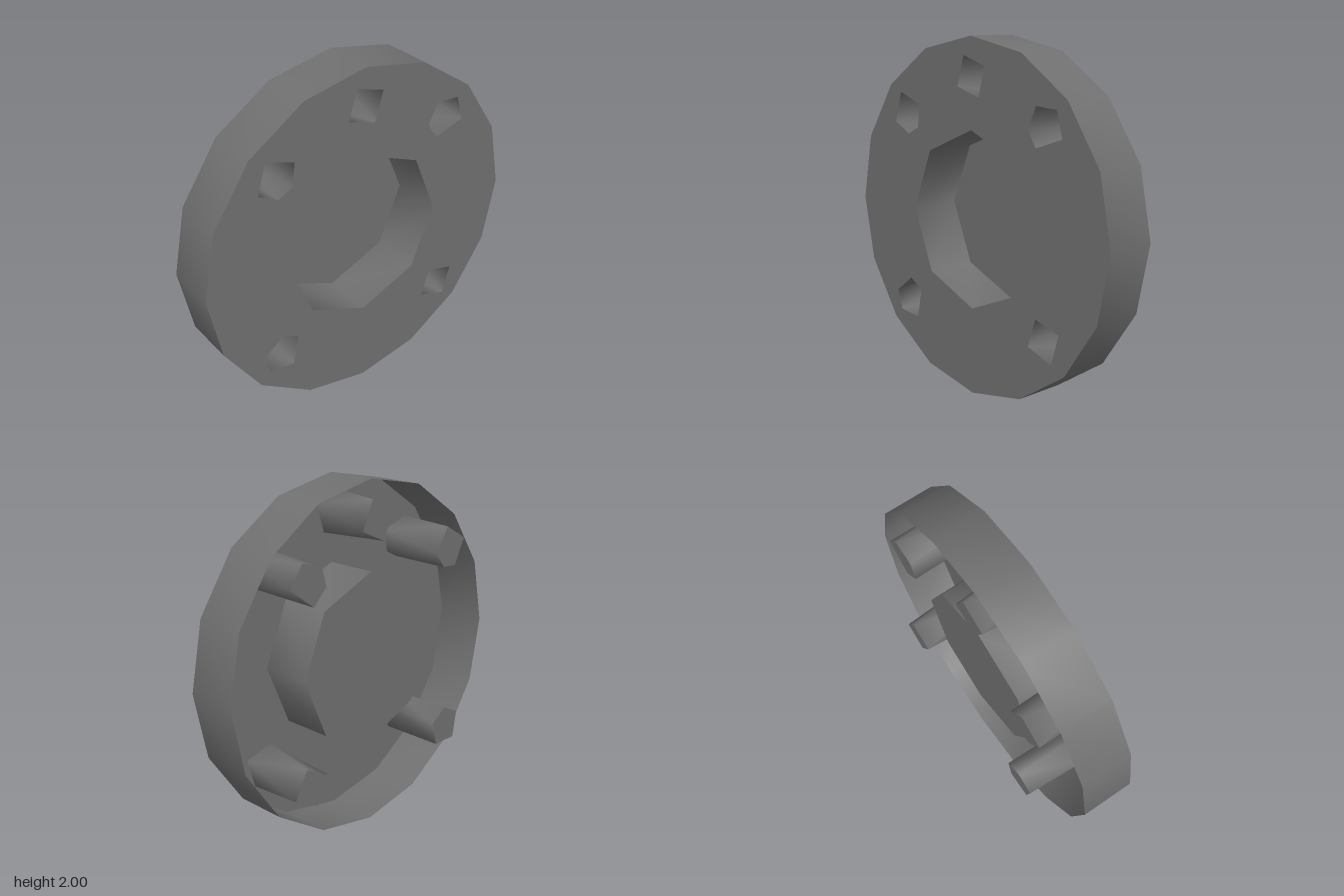
import * as THREE from 'three';

const FRONT = 0.2, BACK = -0.1, PIN_R = 0.125;
const material = new THREE.MeshStandardMaterial({ color: 0x707070, side: THREE.DoubleSide });

// Corner points on a circle, from angles in degrees
const corners = (x, y, r, angles) => angles.map((a) => {
  const t = THREE.MathUtils.degToRad(a);
  return new THREE.Vector2(x + r * Math.cos(t), y + r * Math.sin(t));
});
const regular = (n) => Array.from({ length: n }, (_, i) => (i * 360) / n);

// Smooth-shaded wall between two matching rings
function wall(front, zFront, back, zBack) {
  const n = front.length, pos = [], index = [];
  front.forEach((p) => pos.push(p.x, p.y, zFront));
  back.forEach((p) => pos.push(p.x, p.y, zBack));
  for (let i = 0; i < n; i++) {
    const j = (i + 1) % n;
    index.push(i, n + i, j, j, n + i, n + j);
  }
  const g = new THREE.BufferGeometry();
  g.setAttribute('position', new THREE.Float32BufferAttribute(pos, 3));
  g.setIndex(index);
  g.computeVertexNormals();
  return g;
}

// Flat sheet at depth z, optionally pierced
function sheet(points, z, holes = []) {
  const shape = new THREE.Shape(points);
  holes.forEach((h) => shape.holes.push(new THREE.Path(h)));
  return new THREE.ShapeGeometry(shape).translate(0, 0, z);
}

export function createModel() {
  const group = new THREE.Group();
  const add = (name, geometry, parent = group) => {
    const mesh = new THREE.Mesh(geometry, material);
    mesh.name = name;
    parent.add(mesh);
  };

  // Pins: low-sided hollow studs whose front and back rings are slightly twisted
  const d = 0.557;
  const pins = [
    { name: 'topPin', x: 0, y: 1.787, z: -0.15, front: [28, 118, 208, 298], back: [70, 160, 250, 340] },
    { name: 'upperRightPin', x: -d, y: 1 + d, z: -0.2, front: [25, 117, 211, 275, 320], back: [75, 165, 250, 297, 350] },
    { name: 'upperLeftPin', x: d, y: 1 + d, z: -0.2, front: [51, 121, 185, 238, 339], back: [70, 135, 195, 255, 360] },
    { name: 'lowerRightPin', x: -d, y: 1 - d, z: -0.2, front: [34, 86, 169, 226, 303], back: [21, 85, 150, 231, 310] },
    { name: 'lowerLeftPin', x: d, y: 1 - d, z: -0.2, front: [30, 118, 205, 298], back: [73, 163, 253, 343] },
  ];
  const holes = [];
  for (const p of pins) {
    const pin = new THREE.Group();
    pin.name = p.name;
    const front = corners(p.x, p.y, PIN_R, p.front);
    const back = corners(p.x, p.y, PIN_R, p.back);
    add(p.name + 'Wall', wall(front, FRONT, back, p.z), pin);
    add(p.name + 'Cap', sheet(back, p.z), pin);
    holes.push(front);
    group.add(pin);
  }

  // Central octagonal well
  const well = corners(0, 1, 0.5, regular(8));
  add('wellWall', wall(well, FRONT, well, BACK));
  add('wellFloor', sheet(well, BACK));

  // Rim, open at the back, and the pierced front plate
  const rim = corners(0, 1, 1, regular(16));
  add('rim', wall(rim, FRONT, rim, BACK));
  add('frontPlate', sheet(rim, FRONT, [well, ...holes]));

  return group;
}
